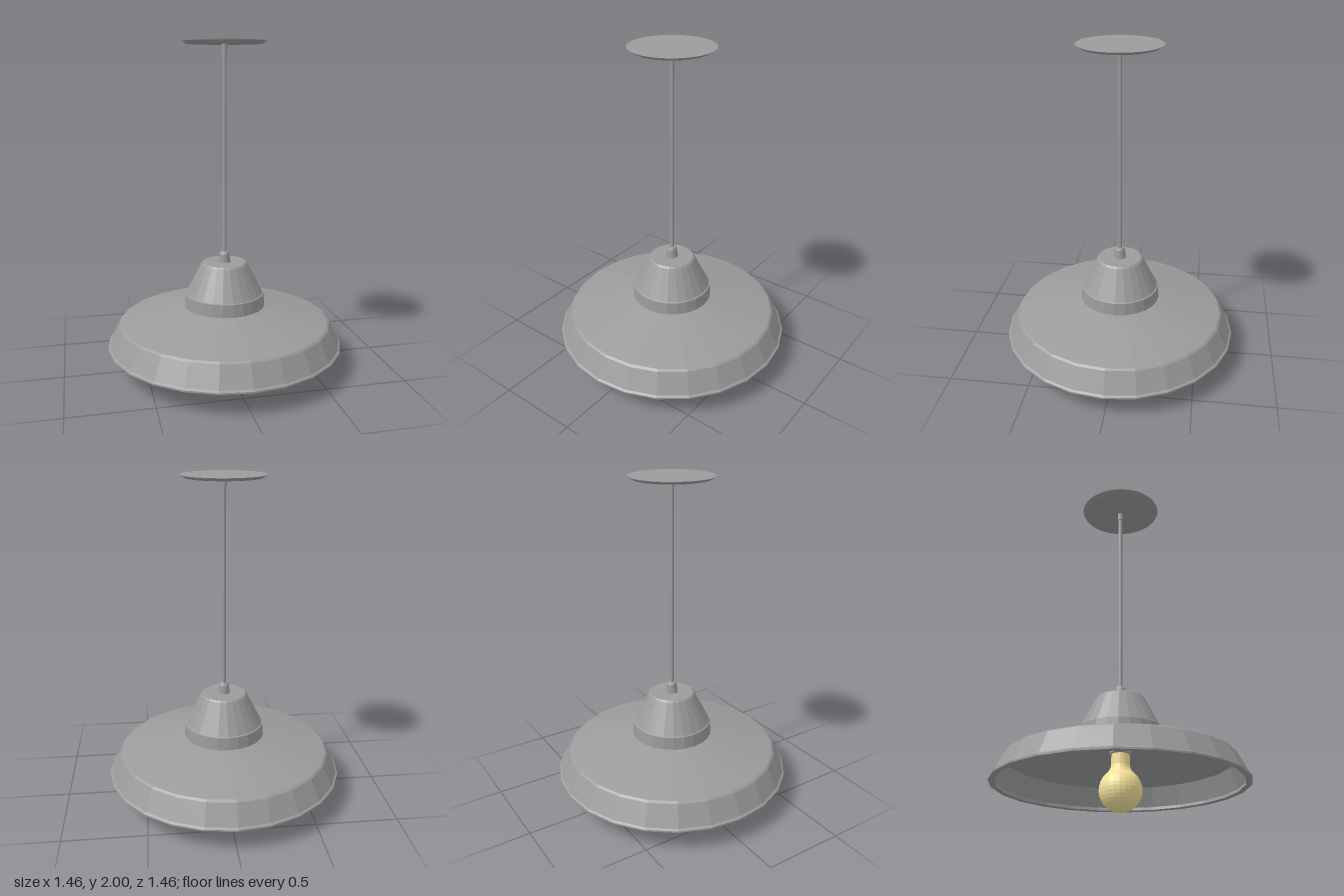
import * as THREE from 'three';

const grey = new THREE.MeshStandardMaterial({ color: 0x9b9b9b, flatShading: true });
const holderGrey = new THREE.MeshStandardMaterial({ color: 0xa49ea8, flatShading: true });
const glow = new THREE.MeshStandardMaterial({ color: 0xf5e29a, flatShading: true });

// Turned part: profile of [radius, height] running from the underside, outwards and up to the top
function turned(name, profile, sides, material = grey) {
  const points = profile.map(([r, y]) => new THREE.Vector2(r, y));
  const mesh = new THREE.Mesh(new THREE.LatheGeometry(points, sides), material);
  mesh.name = name;
  return mesh;
}

export function createModel() {
  const lamp = new THREE.Group();
  lamp.name = 'pendantLamp';

  // Wide hollow shade: flat inner ceiling, inner wall, rolled rim, outer wall, slope
  lamp.add(turned('shade', [
    [0, 0.368], [0.308, 0.368], [0.652, 0.283], [0.698, 0.165], [0.695, 0.147], [0.722, 0.142],
    [0.73, 0.147], [0.73, 0.157], [0.718, 0.165], [0.658, 0.288], [0.645, 0.298],
    [0.24, 0.394], [0, 0.394],
  ], 24));

  // Collar band and tapered housing above the shade
  lamp.add(turned('housing', [
    [0, 0.39], [0.25, 0.392], [0.244, 0.47], [0.236, 0.474],
    [0.144, 0.658], [0.134, 0.668], [0, 0.668],
  ], 24));

  // Cable gland, rod and the small collar under the canopy
  lamp.add(turned('cableGland', [
    [0, 0.66], [0.038, 0.665], [0.031, 0.722], [0.024, 0.735], [0, 0.735],
  ], 16));
  lamp.add(turned('rod', [[0, 0.72], [0.0125, 0.72], [0.0125, 1.96], [0, 1.96]], 12));
  lamp.add(turned('rodCollar', [[0, 1.935], [0.018, 1.935], [0.018, 1.99], [0, 1.99]], 12));

  // Thin ceiling canopy with a bevelled lower edge
  lamp.add(turned('canopy', [[0, 1.982], [0.225, 1.982], [0.248, 1.997], [0.249, 2], [0, 2]], 48));

  // Lamp holder under the inner ceiling
  lamp.add(turned('socket', [
    [0, 0.325], [0.057, 0.325], [0.062, 0.33], [0.062, 0.372], [0, 0.372],
  ], 24, holderGrey));

  // Globe bulb flaring into a straight neck
  const bulb = [];
  for (let i = 0; i <= 14; i++) {
    const a = (i / 14) * 2.5;
    bulb.push([0.122 * Math.sin(a), 0.122 - 0.122 * Math.cos(a)]);
  }
  bulb.push([0.06, 0.24], [0.054, 0.262], [0.052, 0.335], [0, 0.335]);
  lamp.add(turned('bulb', bulb, 24, glow));

  return lamp;
}
